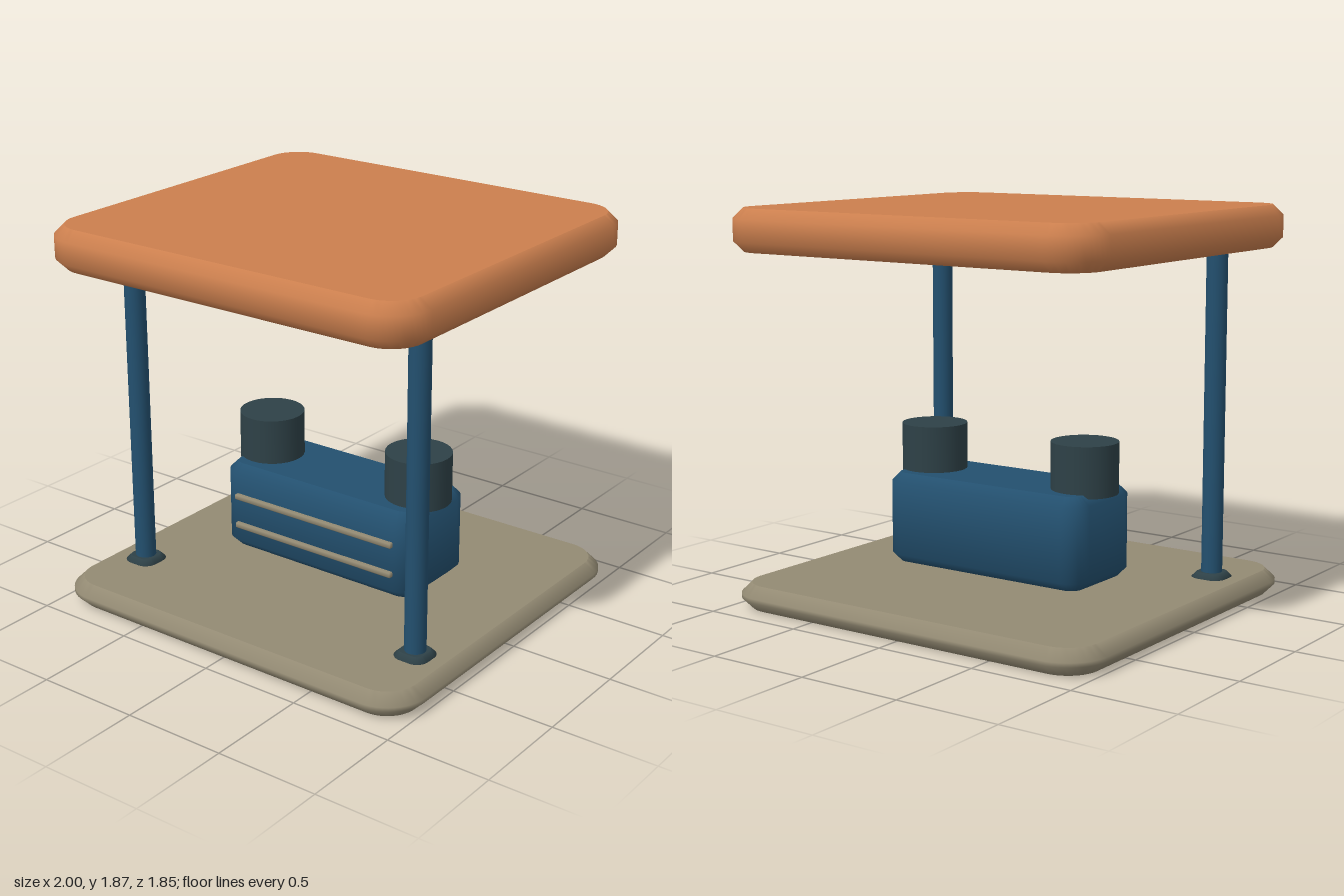
import * as THREE from 'three';
import { toCreasedNormals } from 'three/addons/utils/BufferGeometryUtils.js';

const mat = (name, color) => {
  const m = new THREE.MeshStandardMaterial({ color });
  m.name = name;
  return m;
};

// Slab with rounded plan corners and chamfered rims, standing on y = 0
function slab(w, h, d, radius, bevel) {
  const x = w / 2 - bevel, y = d / 2 - bevel, r = radius - bevel;
  const s = new THREE.Shape();
  s.moveTo(-x + r, -y);
  s.absarc(x - r, -y + r, r, -Math.PI / 2, 0);
  s.absarc(x - r, y - r, r, 0, Math.PI / 2);
  s.absarc(-x + r, y - r, r, Math.PI / 2, Math.PI);
  s.absarc(-x + r, -y + r, r, Math.PI, Math.PI * 1.5);
  let g = new THREE.ExtrudeGeometry(s, {
    depth: h - 2 * bevel, bevelThickness: bevel, bevelSize: bevel, bevelSegments: 1, curveSegments: 6,
  });
  g.translate(0, 0, bevel).rotateX(-Math.PI / 2);
  const caps = g.groups[0];
  g = toCreasedNormals(g, 0.9);
  // keep top and bottom flat, the rim smooth
  const p = g.attributes.position, n = g.attributes.normal;
  for (let i = caps.start; i < caps.start + caps.count; i++) n.setXYZ(i, 0, p.getY(i) > h / 2 ? 1 : -1, 0);
  g.clearGroups();
  return g;
}

export function createModel() {
  const model = new THREE.Group();
  model.name = 'shelter';
  const orange = mat('orange', 0xcb7f4e);
  const beige = mat('beige', 0x938a73);
  const blue = mat('blue', 0x23506f);
  const slate = mat('slate', 0x2e4147);

  const add = (name, geometry, material, x, y, z, parent = model) => {
    const m = new THREE.Mesh(geometry, material);
    m.name = name;
    m.position.set(x, y, z);
    parent.add(m);
    return m;
  };

  // Floor and roof
  add('base', slab(2, 0.12, 1.85, 0.2, 0.05), beige, 0, 0, 0);
  add('roof', slab(2, 0.2, 1.85, 0.2, 0.048), orange, 0, 1.67, 0);
  add('ceilingLamp', new THREE.CylinderGeometry(0.1, 0.1, 0.03, 24), beige, 0, 1.682, 0.51);

  // Front posts with their feet
  const postGeo = new THREE.CylinderGeometry(0.05, 0.05, 1.62, 20);
  const footGeo = slab(0.17, 0.05, 0.17, 0.06, 0.024);
  for (const side of [-1, 1]) {
    const name = side > 0 ? 'left' : 'right';
    add(name + 'Post', postGeo, blue, side * 0.8, 0.88, 0.51);
    add(name + 'Foot', footGeo, slate, side * 0.8, 0.095, 0.51);
  }

  // Cabinet with two drums on top and two front trims
  const cabinet = new THREE.Group();
  cabinet.name = 'cabinet';
  cabinet.position.z = -0.035;
  model.add(cabinet);
  add('cabinetBody', slab(1.11, 0.435, 0.49, 0.1, 0.042), blue, 0, 0.16, 0, cabinet);
  const drumGeo = new THREE.CylinderGeometry(0.157, 0.157, 0.24, 32);
  for (const side of [-1, 1]) add('drum', drumGeo, slate, side * 0.433, 0.696, 0, cabinet);
  const trimGeo = slab(0.925, 0.028, 0.03, 0.008, 0.005);
  for (const y of [0.274, 0.424]) add('trim', trimGeo, beige, 0, y, 0.25, cabinet);

  return model;
}
